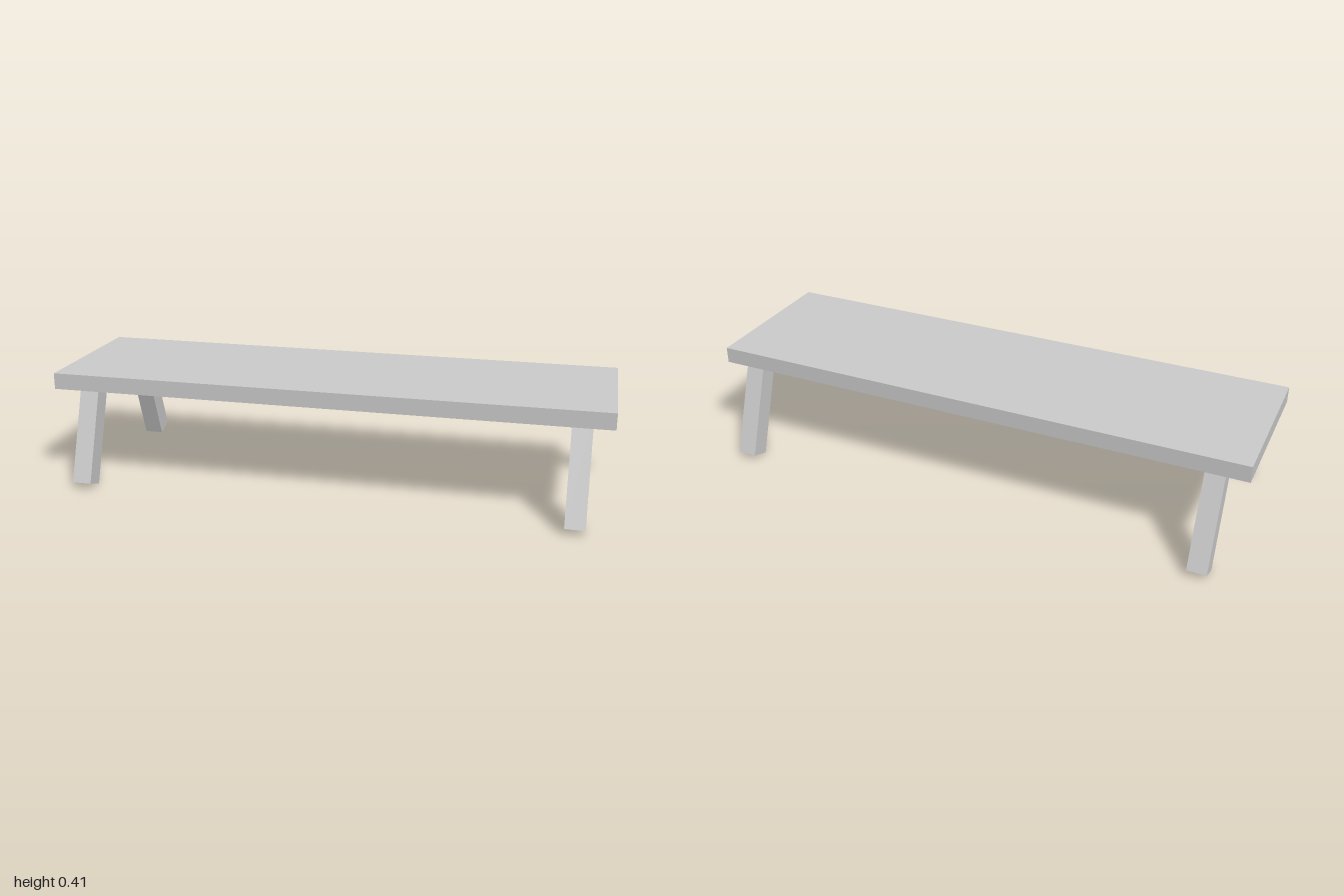
import * as THREE from 'three';

const material = new THREE.MeshStandardMaterial({ color: 0xcccccc, flatShading: true });

function addBox(parent, name, size, position) {
  const mesh = new THREE.Mesh(new THREE.BoxGeometry(...size), material);
  mesh.name = name;
  mesh.position.set(...position);
  parent.add(mesh);
  return mesh;
}

export function createModel() {
  const bench = new THREE.Group();
  bench.name = 'bench';

  // Plank top, set slightly towards the front
  addBox(bench, 'top', [2, 0.059, 0.565], [0, 0.3835, 0.0095]);

  // Four square legs splayed outwards, their upper ends let into the plank
  const splay = THREE.MathUtils.degToRad(20);
  const length = 0.38;
  const footY = 0.0122, footZ = 0.3365; // centre of the foot's end face
  for (const [xName, x] of [['Left', 0.892], ['Right', -0.882]]) {
    for (const [zName, side] of [['front', 1], ['back', -1]]) {
      const y = footY + Math.cos(splay) * length / 2;
      const z = side * (footZ - Math.sin(splay) * length / 2);
      const leg = addBox(bench, `${zName}${xName}Leg`, [0.07, length, 0.0713], [x, y, z]);
      leg.rotation.x = -side * splay;
    }
  }

  return bench;
}
